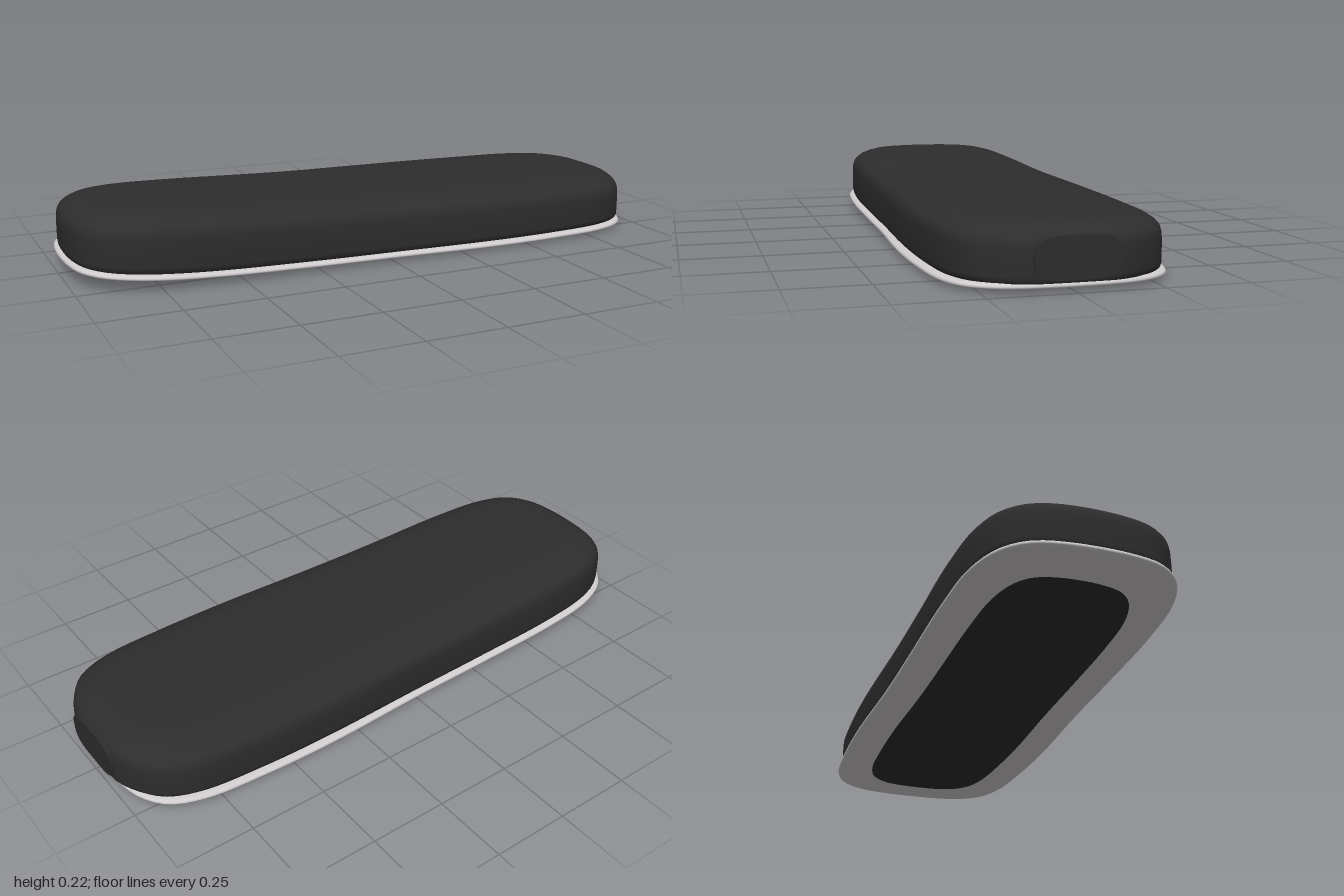
import * as THREE from 'three';

const COUNT = 160; // points around each ring

// smooth height profile y(x) through a few points
function profile(points) {
  const pts = new THREE.SplineCurve(points.map(p => new THREE.Vector2(...p))).getPoints(120);
  return x => {
    if (x <= pts[0].x) return pts[0].y;
    for (let i = 1; i < pts.length; i++) {
      if (x <= pts[i].x) {
        const a = pts[i - 1], b = pts[i];
        return THREE.MathUtils.lerp(a.y, b.y, (x - a.x) / (b.x - a.x));
      }
    }
    return pts[pts.length - 1].y;
  };
}

// closed plan outline mirrored in z, from [x, halfWidth] points running from +x to -x
function outline(half) {
  const back = half.map(([x, w]) => new THREE.Vector3(x, 0, -w));
  const front = half.map(([x, w]) => new THREE.Vector3(x, 0, w)).reverse();
  const curve = new THREE.CatmullRomCurve3([...back, ...front], true, 'centripetal');
  return curve.getSpacedPoints(COUNT).slice(0, COUNT);
}

// skin over rings given as [inset, height value]; inset = SPINE closes the skin on the centre line
const SPINE = 0.35;
function loft(points, rings, heightAt, xInset = 0.5) {
  const pos = [], index = [];
  rings.forEach(([d, h], r) => {
    points.forEach((p, j) => {
      const x = p.x * (1 - d * xInset);
      const z = d >= SPINE ? 0 : p.z * (1 - d / SPINE);
      pos.push(x, heightAt(x, h), z);
      if (r === 0) return;
      const k = (j + 1) % COUNT, lo = (r - 1) * COUNT, hi = r * COUNT;
      index.push(lo + j, lo + k, hi + k, lo + j, hi + k, hi + j);
    });
  });
  const geo = new THREE.BufferGeometry();
  geo.setAttribute('position', new THREE.Float32BufferAttribute(pos, 3));
  geo.setIndex(index);
  geo.computeVertexNormals();
  return geo;
}

export function createModel() {
  const group = new THREE.Group();
  const black = new THREE.MeshStandardMaterial({ color: 0x2d2d2d });
  black.name = 'charcoal';
  const grey = new THREE.MeshStandardMaterial({ color: 0xd2ced0 });
  grey.name = 'light grey';
  const add = (name, geo, mat) => {
    const mesh = new THREE.Mesh(geo, mat);
    mesh.name = name;
    group.add(mesh);
    return mesh;
  };

  const base = profile([[-1, 0.047], [-0.8, 0.034], [-0.6, 0.024], [-0.3, 0.016],
    [0, 0.012], [0.5, 0.009], [0.98, 0.012]]);
  const top = profile([[-1, 0.205], [-0.93, 0.219], [-0.8, 0.224], [-0.6, 0.219], [-0.2, 0.205],
    [0.1, 0.2], [0.5, 0.194], [0.85, 0.19], [1, 0.18]]);

  // thin rim plate with a slightly bulged underside
  const rimLine = outline([[0.978, 0.14], [0.95, 0.23], [0.9, 0.29], [0.8, 0.33], [0.6, 0.348],
    [0.35, 0.352], [0, 0.338], [-0.3, 0.334], [-0.6, 0.329], [-0.8, 0.31], [-0.91, 0.264],
    [-0.965, 0.2], [-0.99, 0.1]]);
  const offset = (x, h) => base(x) + h;
  add('rim', loft(rimLine, [[SPINE, -0.006], [0.2, -0.006], [0.1, -0.004], [0.02, -0.001],
    [0.003, 0.002], [0, 0.007], [0.004, 0.012], [0.015, 0.016], [0.06, 0.018]], offset), grey);

  // dark inset panel underneath
  add('bottomPanel', loft(rimLine, [[SPINE, -0.009], [0.2, -0.0085], [0.12, -0.0075], [0.115, -0.003]],
    offset, 1.2), black);

  // main housing: upright wall, soft shoulder, gently sloping top
  const bodyLine = outline([[0.995, 0.06], [0.99, 0.13], [0.955, 0.21], [0.9, 0.275], [0.8, 0.315],
    [0.6, 0.333], [0.35, 0.337], [0, 0.327], [-0.3, 0.322], [-0.6, 0.317], [-0.8, 0.296],
    [-0.9, 0.255], [-0.955, 0.19], [-0.98, 0.09]]);
  const between = (x, f) => THREE.MathUtils.lerp(base(x) + 0.015, top(x), f);
  add('body', loft(bodyLine, [[0.012, 0], [0.003, 0.05], [0, 0.12], [0, 0.4], [0.001, 0.62], [0.007, 0.73],
    [0.018, 0.8], [0.035, 0.86], [0.065, 0.925], [0.1, 0.968], [0.14, 0.99], [0.19, 1], [0.26, 1],
    [SPINE, 1]], between), black);

  // flat oval plate on the end
  const oval = new THREE.Shape();
  const n = 48;
  for (let i = 0; i < n; i++) {
    const a = (i / n) * Math.PI * 2, c = Math.cos(a), s = Math.sin(a);
    const u = Math.sign(c) * Math.sqrt(Math.abs(c)) * 0.122;
    const v = Math.sign(s) * Math.pow(Math.abs(s), 0.7) * 0.06;
    if (i) oval.lineTo(u, v); else oval.moveTo(u, v);
  }
  const plate = add('endPlate', new THREE.ExtrudeGeometry(oval, { depth: 0.009, bevelEnabled: false }), black);
  plate.rotation.y = Math.PI / 2;
  plate.position.set(0.991, 0.095, 0);

  return group;
}
